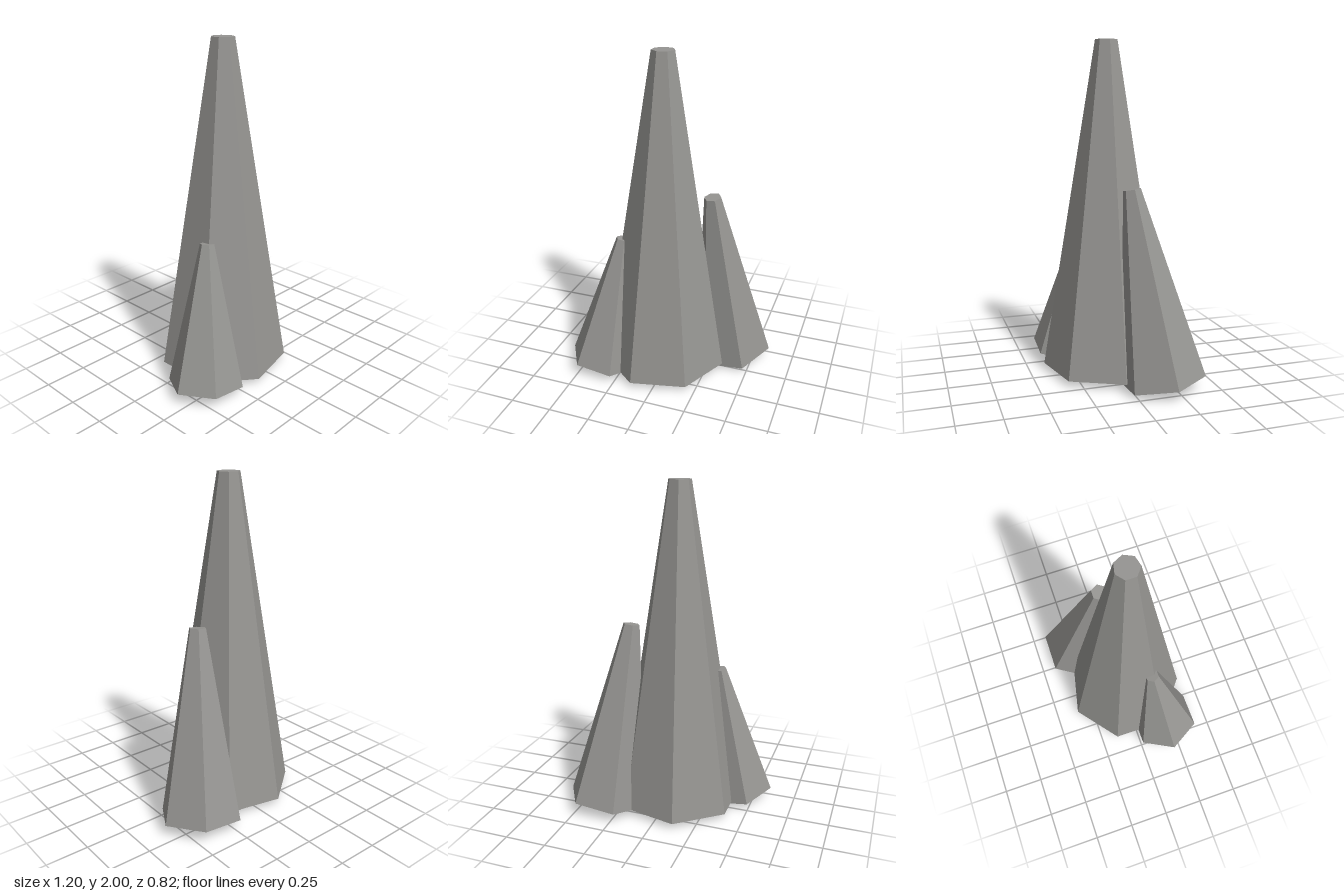
import * as THREE from 'three';

export function createModel() {
  const group = new THREE.Group();
  group.name = 'rockSpires';
  const stone = new THREE.MeshStandardMaterial({ color: 0x969592, flatShading: true });
  stone.name = 'grey stone';

  // Tapered spire running from the centre of its base to the centre of its tip
  function spire(name, sides, baseRadius, tipRadius, base, tip) {
    const from = new THREE.Vector3(...base);
    const axis = new THREE.Vector3(...tip).sub(from);
    const height = axis.length();
    // start angle puts a corner on +x
    const geometry = new THREE.CylinderGeometry(tipRadius, baseRadius, height, sides, 1, false, Math.PI / 2);
    geometry.translate(0, height / 2, 0);
    const mesh = new THREE.Mesh(geometry, stone);
    mesh.name = name;
    mesh.quaternion.setFromUnitVectors(new THREE.Vector3(0, 1, 0), axis.normalize());
    mesh.position.copy(from);
    group.add(mesh);
  }

  // Tall upright spire with two smaller ones leaning against it
  spire('mainSpire', 7, 0.39, 0.068, [-0.044, 0.04, 0.025], [-0.043, 2, 0.025]);
  spire('backLeftSpire', 6, 0.251, 0.052, [0.35, 0.047, -0.195], [0.237, 1.15, -0.039]);
  spire('frontRightSpire', 6, 0.224, 0.042, [-0.382, 0.045, 0.207], [-0.272, 0.873, 0.12]);

  return group;
}
